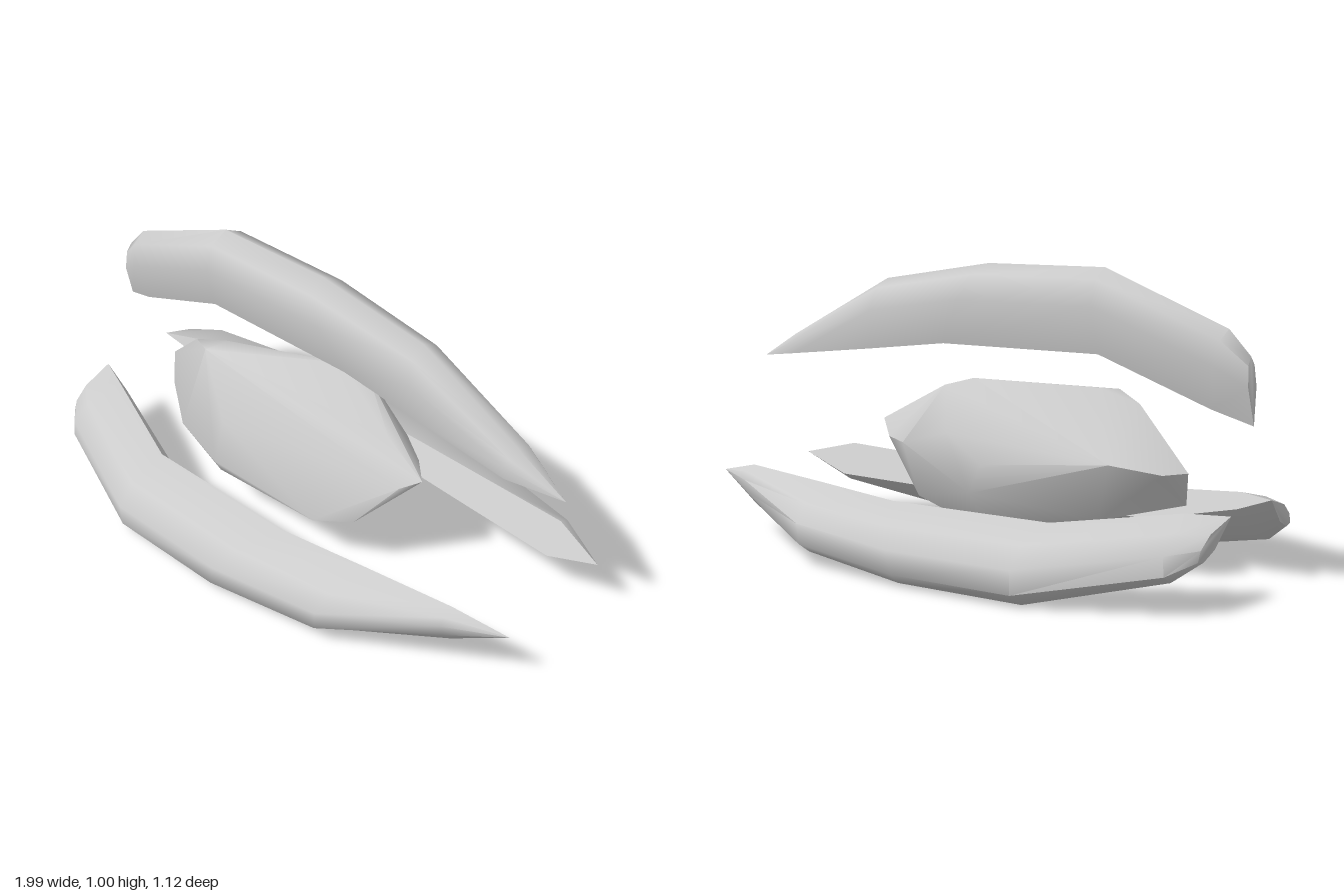
import * as THREE from 'three';
import { toCreasedNormals } from 'three/addons/utils/BufferGeometryUtils.js';
import { ConvexGeometry } from 'three/addons/geometries/ConvexGeometry.js';

const AXIS_Y = 0.37; // height of the long axis the three pods surround

// Pod stations: [outer x, outer radius, inner x, inner radius, half width, inner half width]
const STATIONS = [
  [-1, 0.17, -1, 0.17, 0, 0],
  [-0.985, 0.385, -1, 0.17, 0.03, 0],
  [-0.91, 0.465, -0.87, 0.215, 0.07, 0.03],
  [-0.47, 0.64, -0.48, 0.365, 0.095, 0.058],
  [-0.02, 0.64, 0.13, 0.365, 0.095, 0.056],
  [0.41, 0.575, 0.45, 0.328, 0.083, 0.06],
  [0.8, 0.37, 0.8, 0.29, 0.067, 0.064],
  [0.99, 0.267, 0.99, 0.267, 0, 0],
];

// Seven-sided ring: ridge on the outside, flat face on the inside
function podRing([xo, ro, xi, ri, w, wi]) {
  const at = (t, z) => new THREE.Vector3(xo + (xi - xo) * t, ro + (ri - ro) * t, z);
  return [
    at(0, 0), at(0.13, 0.74 * w), at(0.44, w), at(1, wi),
    at(1, -wi), at(0.44, -w), at(0.13, -0.74 * w),
  ];
}

// Skin the rings, leaving out triangles that collapse at the tips
function podGeometry() {
  const rings = STATIONS.map(podRing);
  const positions = [];
  const tri = (a, b, c) => {
    if (new THREE.Triangle(a, b, c).getArea() < 1e-7) return;
    for (const p of [a, b, c]) positions.push(p.x, p.y, p.z);
  };
  for (let s = 0; s < rings.length - 1; s++) {
    const a = rings[s], b = rings[s + 1], n = a.length;
    for (let i = 0; i < n; i++) {
      const j = (i + 1) % n;
      tri(a[i], a[j], b[i]);
      tri(a[j], b[j], b[i]);
    }
  }
  const geometry = new THREE.BufferGeometry();
  geometry.setAttribute('position', new THREE.Float32BufferAttribute(positions, 3));
  return toCreasedNormals(geometry, 0.95);
}

// Irregular rock-like core
function coreGeometry() {
  const corners = [
    // pointed left end
    [-0.78, 0.37, 0], [-0.76, 0.26, 0.03], [-0.73, 0.37, -0.08], [-0.65, 0.3, 0.1],
    [-0.56, 0.565, 0.08], [-0.58, 0.4, -0.16], [-0.55, 0.25, 0.18], [-0.5, 0.2, -0.08],
    // top
    [-0.45, 0.6, 0.14], [-0.42, 0.61, 0.06], [-0.02, 0.63, -0.09], [0.07, 0.605, -0.13],
    [0.28, 0.515, 0],
    // back
    [-0.15, 0.37, -0.24], [0, 0.46, -0.225], [-0.1, 0.27, -0.235], [0.22, 0.4, -0.17],
    [0.34, 0.4, -0.09],
    // front and underside
    [-0.3, 0.25, 0.255], [-0.3, 0.4, 0.21], [0.13, 0.2, 0.21], [-0.3, 0.2, 0.23],
    [-0.1, 0.11, -0.11], [0.22, 0.2, -0.08],
    // right end
    [0.27, 0.24, 0.16], [0.455, 0.44, 0.03], [0.4, 0.41, 0.08],
  ];
  return toCreasedNormals(new ConvexGeometry(corners.map((p) => new THREE.Vector3(...p))), 0.85);
}

export function createModel() {
  const model = new THREE.Group();
  const material = new THREE.MeshStandardMaterial({ color: 0xcccccc });

  const core = new THREE.Mesh(coreGeometry(), material);
  core.name = 'core';
  model.add(core);

  // Three equal pods around the long axis
  const geometry = podGeometry();
  ['topPod', 'frontPod', 'backPod'].forEach((name, i) => {
    const pod = new THREE.Mesh(geometry, material);
    pod.name = name;
    pod.position.y = AXIS_Y;
    pod.rotation.x = (i * Math.PI * 2) / 3;
    model.add(pod);
  });

  return model;
}
